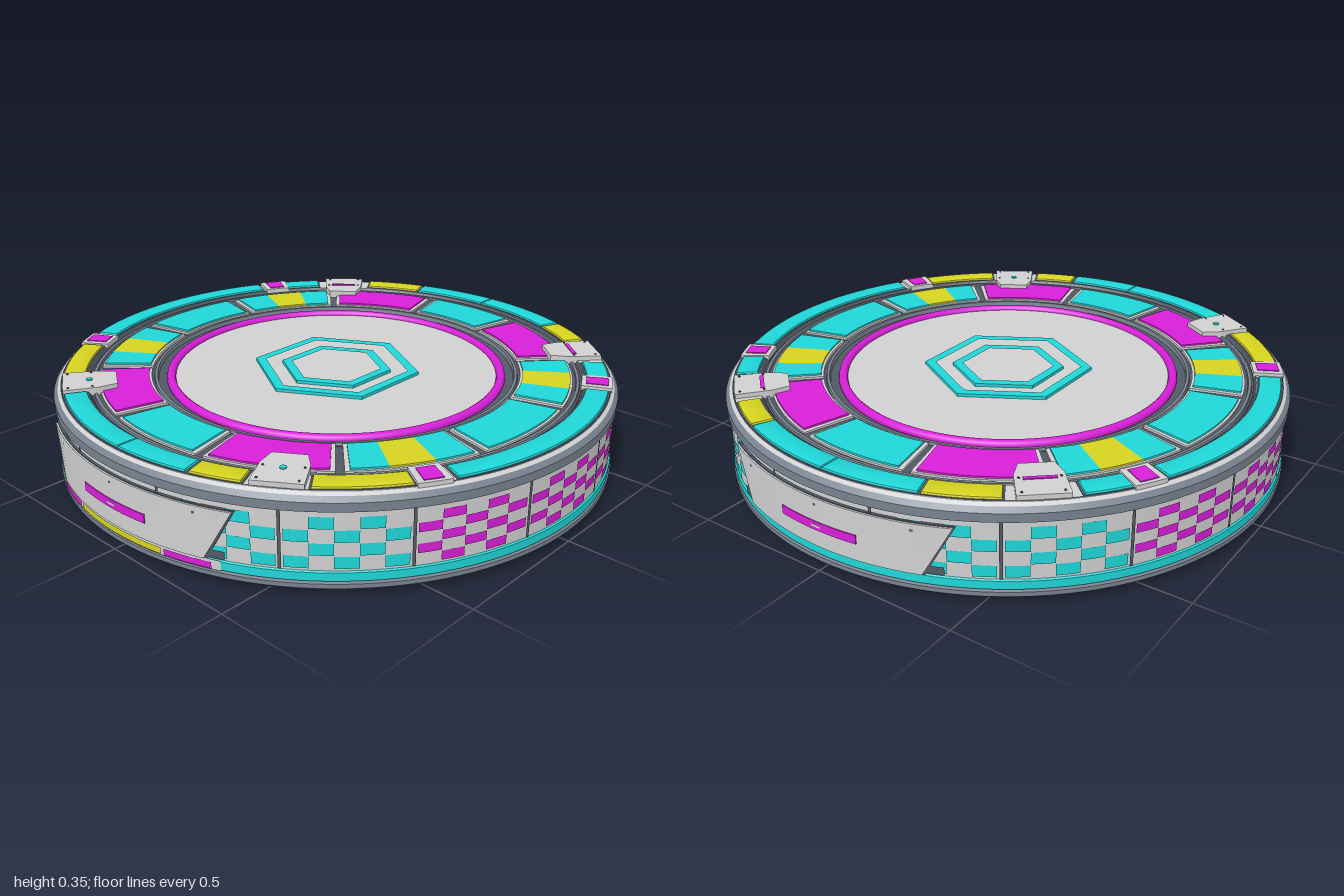
import * as THREE from 'three';
import { mergeGeometries, toCreasedNormals } from 'three/addons/utils/BufferGeometryUtils.js';

const RAD = Math.PI / 180;
const mat = (name, color) => {
  const m = new THREE.MeshStandardMaterial({ color });
  m.name = name;
  return m;
};

export function createModel() {
  const light = mat('light grey', 0xd0d0d0);
  const slate = mat('slate grey', 0x78828f);
  const dark = mat('dark slate', 0x525a66);
  const cyan = mat('cyan', 0x1fd6d8);
  const magenta = mat('magenta', 0xd81fd8);
  const yellow = mat('yellow', 0xd6d41f);

  const root = new THREE.Group();
  root.name = 'discPlatform';
  const add = (name, geo, material, parent = root) => {
    const mesh = new THREE.Mesh(geo, material);
    mesh.name = name;
    parent.add(mesh);
    return mesh;
  };
  const group = (name) => {
    const g = new THREE.Group();
    g.name = name;
    root.add(g);
    return g;
  };

  // Full ring turned from a radius/height profile
  const ring = (name, pts, material) => add(name, toCreasedNormals(
    new THREE.LatheGeometry(pts.map(p => new THREE.Vector2(...p)), 128), 0.4), material);

  // Raised ring sector; angles in degrees clockwise from the back, seen from above
  const sector = (name, r0, r1, a0, a1, y, h, material, parent, bevel = 0) => {
    const s = new THREE.Shape();
    const f0 = (90 - a1) * RAD, f1 = (90 - a0) * RAD;
    s.absarc(0, 0, r1, f0, f1, false);
    s.absarc(0, 0, r0, f1, f0, true);
    const geo = new THREE.ExtrudeGeometry(s, {
      depth: h - bevel, curveSegments: Math.max(4, Math.ceil((a1 - a0) / 3)),
      bevelEnabled: bevel > 0, bevelThickness: bevel, bevelSize: bevel, bevelOffset: -bevel, bevelSegments: 2,
    });
    geo.rotateX(-Math.PI / 2).translate(0, y, 0);
    return add(name, toCreasedNormals(geo, 0.5), material, parent);
  };

  // Thin curved patch on the side wall; angles in degrees from the front toward +x
  const patch = (r, t0, t1, y0, y1) => new THREE.CylinderGeometry(
    r, r, y1 - y0, Math.max(2, Math.ceil((t1 - t0) / 3)), 1, true, t0 * RAD, (t1 - t0) * RAD)
    .translate(0, (y0 + y1) / 2, 0);

  // Base, wall and rims
  ring('base', [[0, 0], [0.95, 0], [0.95, 0.022], [0.9, 0.022]], light);
  ring('lowerRim', [[0.9, 0.02], [0.982, 0.021], [0.99, 0.029], [0.99, 0.044], [0.975, 0.05]], slate);
  ring('lowerBand', [[0.97, 0.05], [0.987, 0.052], [0.987, 0.08], [0.975, 0.087]], cyan);
  ring('sideWall', [[0.981, 0.08], [0.981, 0.278]], light);
  ring('upperRim', [[0.975, 0.274], [0.99, 0.279], [0.99, 0.308], [0.976, 0.323]], slate);
  ring('topBorder', [[0.976, 0.323], [0.962, 0.332], [0.874, 0.332]], light);
  ring('borderGroove', [[0.966, 0.331], [0.963, 0.334], [0.96, 0.332]], dark);
  ring('topFloor', [[0.874, 0.332], [0.866, 0.32], [0.66, 0.318], [0.62, 0.304], [0.57, 0.304]], dark);
  ring('gutterRail', [[0.86, 0.318], [0.858, 0.327], [0.848, 0.327], [0.846, 0.318]], slate);
  ring('innerRail', [[0.648, 0.31], [0.645, 0.324], [0.635, 0.324], [0.632, 0.305]], slate);
  ring('centreDisc', [[0.58, 0.31], [0, 0.31]], light);
  add('centreRing', new THREE.TorusGeometry(0.588, 0.016, 10, 128)
    .rotateX(Math.PI / 2).translate(0, 0.31, 0), magenta);

  // Two hexagon frames on the centre disc
  for (const [outer, inner] of [[0.3, 0.262], [0.2, 0.163]]) {
    const hex = r => Array.from({ length: 6 }, (_, i) =>
      new THREE.Vector2(r * Math.sin(i * Math.PI / 3), r * Math.cos(i * Math.PI / 3)));
    const s = new THREE.Shape(hex(outer));
    s.holes.push(new THREE.Path(hex(inner)));
    add('hexagonFrame', new THREE.ExtrudeGeometry(s, { depth: 0.012, bevelEnabled: false })
      .rotateX(-Math.PI / 2).translate(0, 0.309, 0), cyan);
  }

  // Inner ring of twelve framed tiles
  const tiles = group('innerTiles');
  const tile = (a0, a1, parts) => {
    sector('tileFrame', 0.655, 0.836, a0 + 0.9, a1 - 0.9, 0.315, 0.011, light, tiles);
    for (const [b0, b1, m] of parts)
      sector('tile', 0.664, 0.828, b0, b1, 0.32, 0.012, m, tiles);
  };
  for (const a of [0, 180]) tile(a - 14, a + 14, [[a - 12, a + 12, cyan]]);
  for (const a of [90, 270]) tile(a - 15, a + 15, [[a - 13.2, a + 13.2, cyan]]);
  for (const base of [0, 180]) for (const side of [-1, 1]) {
    const span = (p, q) => side > 0 ? [base + p, base + q] : [base - q, base - p];
    tile(...span(14, 44), [[...span(16, 42), magenta]]);
    tile(...span(44, 75), [[...span(46, 54), cyan], [...span(54, 64), yellow], [...span(64, 73), cyan]]);
  }

  // Outer ring of coloured bars
  const bars = group('outerBars');
  const layout = [
    [-19.5, -0.1, cyan], [0.1, 22.3, cyan], [23, 34, yellow], [48, 56.8, cyan],
    [64, 115.5, cyan], [123.5, 141, yellow], [153, 163, yellow], [163.7, 179.9, cyan],
    [180.1, 208, cyan], [219, 236.5, yellow], [244.5, 296, cyan], [303.2, 312, cyan],
    [326, 340, yellow],
  ];
  for (const [a0, a1, m] of layout) {
    sector('barSeat', 0.876, 0.962, a0 - 0.4, a1 + 0.4, 0.328, 0.006, dark, bars);
    sector('bar', 0.882, 0.957, a0, a1, 0.328, 0.014, m, bars, 0.006);
  }
  for (const a of [60, 120, 240, 300]) {
    sector('markerFrame', 0.865, 0.968, a - 3.2, a + 3.2, 0.326, 0.017, light, bars);
    sector('marker', 0.88, 0.955, a - 1.9, a + 1.9, 0.34, 0.006, magenta, bars);
  }

  // Four bolted clamps on the top edge
  for (const [a, back] of [[41, true], [146.8, false], [213.2, false], [319, true]]) {
    const clamp = group('topClamp');
    clamp.rotation.y = (180 - a) * RAD;
    const s = new THREE.Shape([[-0.055, -0.775], [-0.075, -0.84], [-0.08, -0.957], [0.08, -0.957],
      [0.075, -0.84], [0.055, -0.775]].map(p => new THREE.Vector2(...p)));
    add('clampPlate', new THREE.ExtrudeGeometry(s, { depth: 0.028, bevelEnabled: false })
      .rotateX(-Math.PI / 2).translate(0, 0.32, 0), light, clamp);
    if (back) {
      add('clampStripe', new THREE.BoxGeometry(0.1, 0.006, 0.014).translate(0, 0.348, 0.865), magenta, clamp);
    } else {
      add('clampStud', new THREE.CylinderGeometry(0.011, 0.011, 0.006, 12).translate(0, 0.349, 0.868), cyan, clamp);
    }
    for (const x of [-0.062, 0.062]) for (const z of [0.86, 0.94])
      add('bolt', new THREE.CylinderGeometry(0.004, 0.004, 0.004, 6).translate(x, 0.349, z), dark, clamp);
  }

  // Checkered wall panels, sixteen around, with front and back left for the plates
  const wall = group('wallPanels');
  const checks = { cyan: [], magenta: [] };
  const seams = [];
  for (let k = 0; k < 16; k++) {
    const mid = k * 22.5;
    seams.push(patch(0.985, mid + 10.95, mid + 11.55, 0.086, 0.276));
    if (k % 8 === 0) continue;
    const isMagenta = k % 8 >= 3 && k % 8 <= 5;
    const rows = isMagenta ? 5 : 4, cols = 5;
    const w = 21.2 / cols, h = 0.172 / rows;
    for (let r = 0; r < rows; r++) for (let c = 0; c < cols; c++) {
      if ((r + c) % 2 === 0) continue;
      const t = mid - 10.6 + c * w, y = 0.262 - (r + 1) * h;
      checks[isMagenta ? 'magenta' : 'cyan'].push(patch(0.984, t, t + w, y + 0.002, y + h - 0.002));
    }
  }
  add('cyanChecks', mergeGeometries(checks.cyan), cyan, wall);
  add('magentaChecks', mergeGeometries(checks.magenta), magenta, wall);
  add('panelSeams', mergeGeometries(seams), dark, wall);

  // Curved trapezoid plate: a box bent around the wall, wider at the top
  const bentPlate = (r0, r1, y0, y1, half0, half1) => {
    const g = new THREE.BoxGeometry(1, 1, 1, 24, 1, 1);
    const p = g.attributes.position;
    for (let i = 0; i < p.count; i++) {
      const v = p.getY(i) + 0.5, r = p.getZ(i) > 0 ? r1 : r0;
      const t = 2 * p.getX(i) * THREE.MathUtils.lerp(half0, half1, v) * RAD;
      p.setXYZ(i, r * Math.sin(t), y0 + v * (y1 - y0), r * Math.cos(t));
    }
    g.computeVertexNormals();
    return g;
  };
  for (const [name, turn] of [['frontPlate', 0], ['backPlate', Math.PI]]) {
    const g = group(name);
    g.rotation.y = turn;
    add('plate', bentPlate(0.975, 0.996, 0.086, 0.255, 20.5, 26), light, g);
    add('plateEdge', bentPlate(0.975, 0.99, 0.084, 0.258, 20.9, 26.4), dark, g);
    add('plateBar', bentPlate(0.994, 0.999, 0.145, 0.175, 8.6, 8.6), magenta, g);
    add('barChip', bentPlate(0.996, 1, 0.156, 0.164, 1, 1), light, g);
    for (const t of [-22.5, 22.5])
      add('plateClip', patch(0.99, t - 1.8, t + 1.8, 0.09, 0.118), dark, g);
    for (const t of [-19, 0, 19])
      add('plateBolt', patch(0.9975, t - 0.3, t + 0.3, 0.23, 0.238), dark, g);
  }

  // Striped sill under the front plate
  add('sillBacking', patch(0.989, -23.5, 23.5, 0.05, 0.084), light);
  add('sillCentre', patch(0.992, -11.5, 11.5, 0.054, 0.076), yellow);
  for (const s of [-1, 1])
    add('sillEnd', patch(0.992, s * 17 - 4.8, s * 17 + 4.8, 0.054, 0.076), magenta);

  return root;
}
